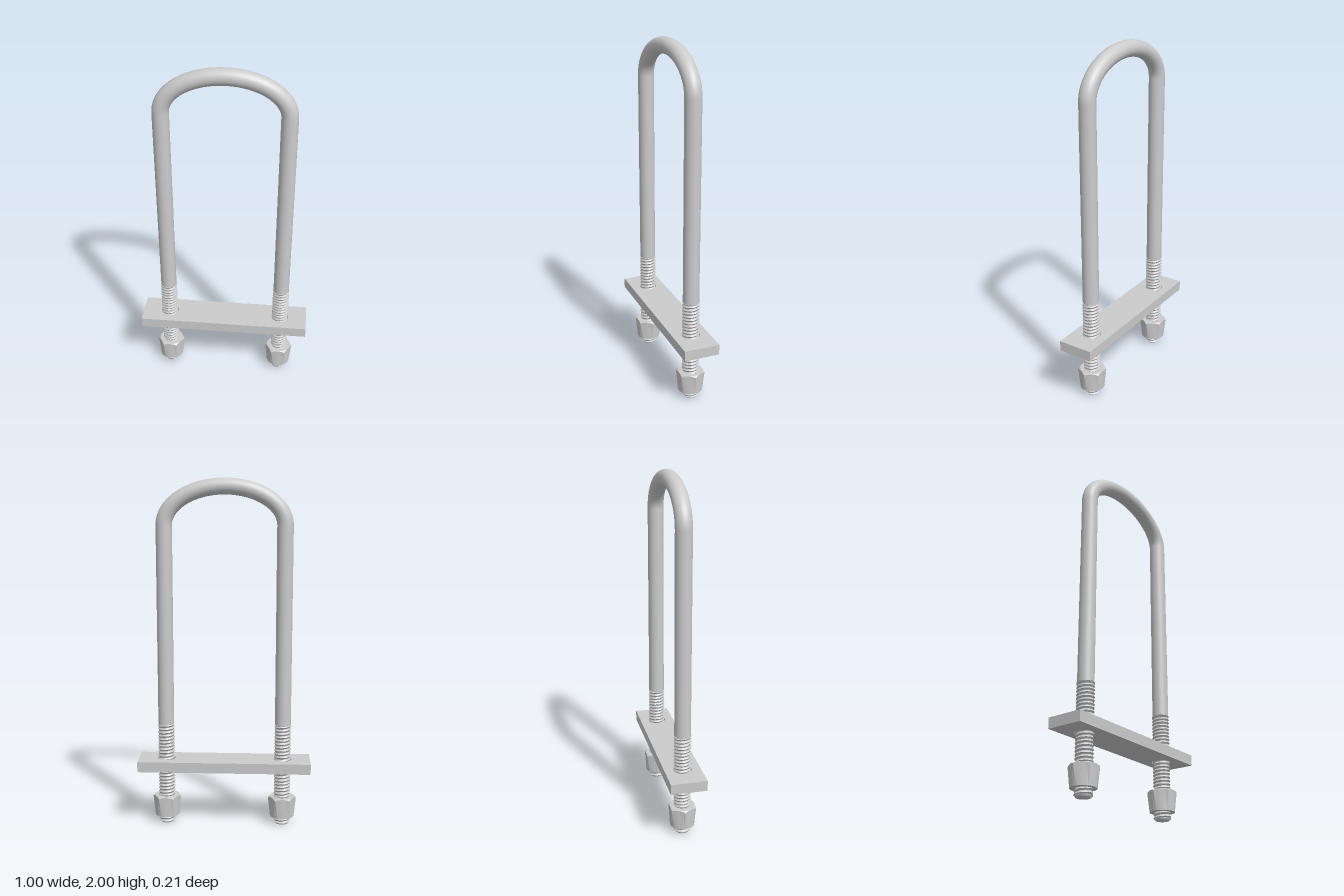
import * as THREE from 'three';
import { toCreasedNormals } from 'three/addons/utils/BufferGeometryUtils.js';

const LEG_X = 0.34, ROD_R = 0.046, THREAD_TOP = 0.6, BEND_Y = 1.74, BEND_H = 0.214;
const PLATE = { halfW: 0.5, halfD: 0.103, bottom: 0.33, height: 0.06, holeR: 0.052 };
const NUT = { bottom: 0.045, top: 0.165, apothem: 0.0715, faceR: 0.07 };

const material = new THREE.MeshStandardMaterial({ color: 0xcccccc });

function add(parent, name, geometry, x = 0, y = 0) {
  const mesh = new THREE.Mesh(geometry, material);
  mesh.name = name;
  mesh.position.set(x, y, 0);
  parent.add(mesh);
  return mesh;
}

const lathe = (points, segments) =>
  new THREE.LatheGeometry(points.map(([r, y]) => new THREE.Vector2(r, y)), segments);

// Half-ellipse centre line of the bend
class BendCurve extends THREE.Curve {
  getPoint(t, target = new THREE.Vector3()) {
    const a = Math.PI * (1 - t);
    return target.set(LEG_X * Math.cos(a), BEND_Y + BEND_H * Math.sin(a), 0);
  }
}

// Helical V-thread: a cylinder whose rows alternate crest and root, sheared by one pitch per turn
function threadGeometry() {
  const pitch = 0.02, start = 0.01, crest = 0.049, root = 0.042;
  const rows = 2 * Math.ceil((THREAD_TOP - start) / pitch) + 2;
  const g = new THREE.CylinderGeometry(1, 1, 1, 28, rows, true);
  const { position, uv } = g.attributes;
  for (let i = 0; i < position.count; i++) {
    const u = uv.getX(i), row = Math.round(uv.getY(i) * rows);
    const r = row % 2 ? crest : root, a = u * Math.PI * 2;
    const y = THREE.MathUtils.clamp(start + pitch * (row / 2 - 1 + u), start, THREAD_TOP);
    position.setXYZ(i, r * Math.sin(a), y, r * Math.cos(a));
  }
  return toCreasedNormals(g, 0.6);
}

// Hex nut: a lathe pushed out to a hexagon, with conical chamfers biting into the corners
function nutGeometry() {
  const { bottom, top, apothem, faceR } = NUT;
  const g = lathe([[0.043, bottom], [faceR, bottom], [1, bottom], [1, top], [faceR, top], [0.043, top]], 36);
  const p = g.attributes.position;
  for (let i = 0; i < p.count; i++) {
    const x = p.getX(i), z = p.getZ(i);
    if (Math.hypot(x, z) < 0.5) continue;
    const a = Math.atan2(x, z), sector = Math.PI / 3;
    const r = apothem / Math.cos(a - Math.round(a / sector) * sector);
    const drop = (r - faceR) * 0.8;
    const y = p.getY(i) === bottom ? bottom + drop : top - drop;
    p.setXYZ(i, r * Math.sin(a), y, r * Math.cos(a));
  }
  return toCreasedNormals(g, 0.4);
}

// Flat clamp plate with two through holes
function plateGeometry() {
  const { halfW: w, halfD: d, height, holeR } = PLATE;
  const shape = new THREE.Shape([[-w, -d], [w, -d], [w, d], [-w, d]].map(([x, y]) => new THREE.Vector2(x, y)));
  for (const s of [-1, 1]) {
    shape.holes.push(new THREE.Path().absarc(s * LEG_X, 0, holeR, 0, Math.PI * 2, true));
  }
  const g = new THREE.ExtrudeGeometry(shape, { depth: height, bevelEnabled: false, curveSegments: 32 });
  g.rotateX(-Math.PI / 2);
  return toCreasedNormals(g, 0.6);
}

export function createModel() {
  const model = new THREE.Group();
  model.name = 'uBolt';

  add(model, 'bend', new THREE.TubeGeometry(new BendCurve(), 64, ROD_R, 32, false));
  add(model, 'clampPlate', plateGeometry(), 0, PLATE.bottom);

  const legLength = BEND_Y - THREAD_TOP;
  const leg = new THREE.CylinderGeometry(ROD_R, ROD_R, legLength, 32, 1, true);
  // Solid core with a chamfered tip, flaring to the plain rod at the top
  const core = toCreasedNormals(
    lathe([[0, 0], [0.039, 0], [0.043, 0.008], [0.043, 0.59], [ROD_R, THREAD_TOP]], 32), 0.4);
  const thread = threadGeometry();
  const nut = nutGeometry();

  for (const [side, x] of [['left', LEG_X], ['right', -LEG_X]]) {
    add(model, side + 'Leg', leg, x, THREAD_TOP + legLength / 2);
    add(model, side + 'ThreadCore', core, x);
    add(model, side + 'Thread', thread, x);
    add(model, side + 'Nut', nut, x);
  }
  return model;
}
